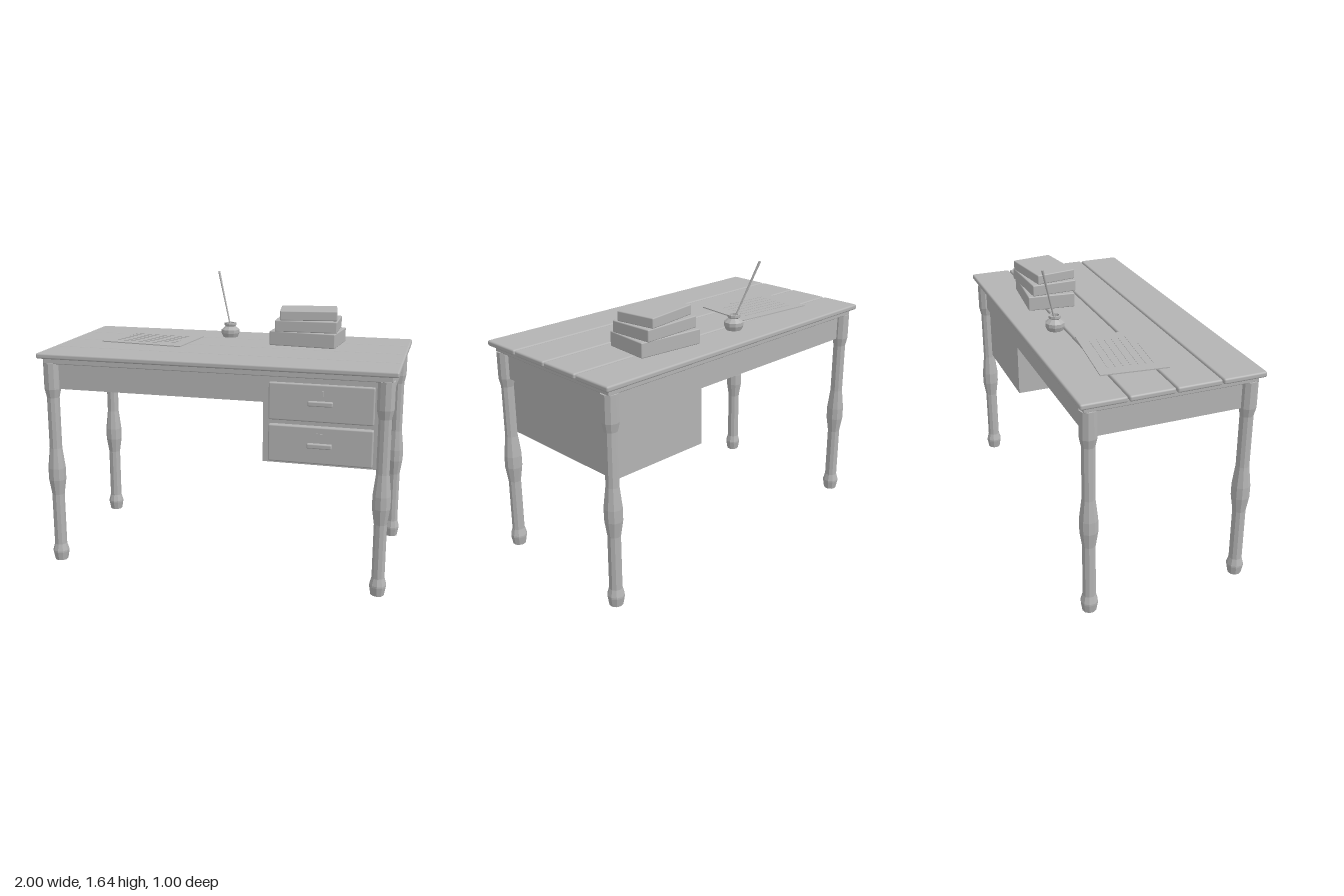
import * as THREE from 'three';
import { RoundedBoxGeometry } from 'three/addons/geometries/RoundedBoxGeometry.js';

const grey = new THREE.MeshStandardMaterial({ color: 0xb3b3b3 });
grey.name = 'plainGrey';
const facetedGrey = grey;

export function createModel() {
  const model = new THREE.Group();
  model.name = 'writingDesk';

  const add = (name, geometry, x, y, z, parent = model) => {
    const mesh = new THREE.Mesh(geometry, facetedGrey);
    mesh.name = name;
    mesh.position.set(x, y, z);
    parent.add(mesh);
    return mesh;
  };
  // Box given by its extents on each axis, with optional rounded edges
  const block = (name, [x0, x1], [y0, y1], [z0, z1], r = 0) => {
    const s = [x1 - x0, y1 - y0, z1 - z0];
    const g = r ? new RoundedBoxGeometry(...s, 2, r) : new THREE.BoxGeometry(...s);
    return add(name, g, (x0 + x1) / 2, (y0 + y1) / 2, (z0 + z1) / 2);
  };
  // Faceted turned part from [radius, height] pairs
  const turned = (points, sides) => {
    const lathe = new THREE.LatheGeometry(points.map(([r, y]) => new THREE.Vector2(r, y)), sides);
    const flat = lathe.toNonIndexed();
    flat.computeVertexNormals();
    return flat;
  };

  // Top: four planks on a smaller under-panel
  for (let i = 0; i < 4; i++) {
    const z = -0.3765 + i * 0.251;
    block('topPlank', [-1, 1], [1.219, 1.25], [z - 0.1215, z + 0.1215], 0.01);
  }
  block('underPanel', [-0.97, 0.97], [1.187, 1.222], [-0.47, 0.47], 0.005);

  // Turned legs
  const legGeometry = turned([
    [0, 0], [0.038, 0], [0.047, 0.05], [0.047, 0.06], [0.036, 0.1], [0.036, 0.41],
    [0.05, 0.5], [0.05, 0.57], [0.036, 0.69], [0.036, 0.99], [0.047, 1.04], [0.047, 1.19], [0, 1.19],
  ], 10);
  for (const x of [-0.935, 0.935]) {
    for (const z of [-0.435, 0.435]) add('leg', legGeometry, x, 0, z);
  }

  // Aprons between the legs
  for (const s of [-1, 1]) {
    const zs = [s * 0.42, s * 0.435 + s * 0.005].sort((a, b) => a - b);
    block('longApron', [-0.92, 0.92], [1.04, 1.19], zs);
    const xs = [s * 0.915, s * 0.945].sort((a, b) => a - b);
    block('sideApron', xs, [1.04, 1.19], [-0.42, 0.42]);
  }

  // Drawer cabinet, with drawer fronts, keyhole plates and pulls
  block('drawerCabinet', [0.285, 0.905], [0.705, 1.188], [-0.42, 0.425]);
  for (const y of [0.822, 1.052]) {
    block('drawerFront', [0.32, 0.88], [y - 0.102, y + 0.102], [0.42, 0.457], 0.008);
    block('drawerPull', [0.533, 0.665], [y - 0.012, y + 0.014], [0.45, 0.477], 0.006);
    block('keyholePlate', [0.583, 0.615], [y + 0.038, y + 0.068], [0.45, 0.463]);
  }

  // Stack of books: width, height, depth, base height, x, z, turn
  for (const [w, h, d, y, x, z, turn] of [
    [0.39, 0.084, 0.275, 1.25, 0.412, -0.2, -0.095],
    [0.36, 0.066, 0.265, 1.334, 0.415, -0.2, 0.035],
    [0.328, 0.056, 0.237, 1.4, 0.415, -0.2, 0.15],
  ]) {
    add('book', new RoundedBoxGeometry(w, h, d, 2, 0.006), x, y + h / 2, z).rotation.y = turn;
  }

  // Sheet of paper with ruled lines
  const paper = new THREE.Group();
  paper.name = 'paper';
  paper.position.set(-0.51, 1.25, -0.09);
  paper.rotation.y = -0.106;
  model.add(paper);
  add('paperSheet', new THREE.BoxGeometry(0.505, 0.006, 0.362), 0, 0.003, 0, paper);
  for (let i = 0; i < 7; i++) {
    const length = i === 6 ? 0.26 : 0.36;
    add('ruledLine', new THREE.BoxGeometry(length, 0.002, 0.006),
      (length - 0.36) / 2, 0.007, -0.12 + i * 0.04, paper);
  }

  // Inkwell and leaning pen
  add('inkwell', turned([
    [0, 0], [0.045, 0], [0.055, 0.025], [0.055, 0.045], [0.03, 0.066],
    [0.036, 0.072], [0.036, 0.086], [0.024, 0.086], [0.022, 0.06], [0, 0.06],
  ], 10), -0.088, 1.25, -0.305);

  const penStart = new THREE.Vector3(-0.088, 1.31, -0.308);
  const penEnd = new THREE.Vector3(-0.185, 1.635, -0.4);
  const along = penEnd.clone().sub(penStart);
  const mid = penStart.clone().add(penEnd).multiplyScalar(0.5);
  const pen = add('pen', new THREE.CylinderGeometry(0.007, 0.004, along.length(), 8), mid.x, mid.y, mid.z);
  pen.quaternion.setFromUnitVectors(new THREE.Vector3(0, 1, 0), along.normalize());

  return model;
}
